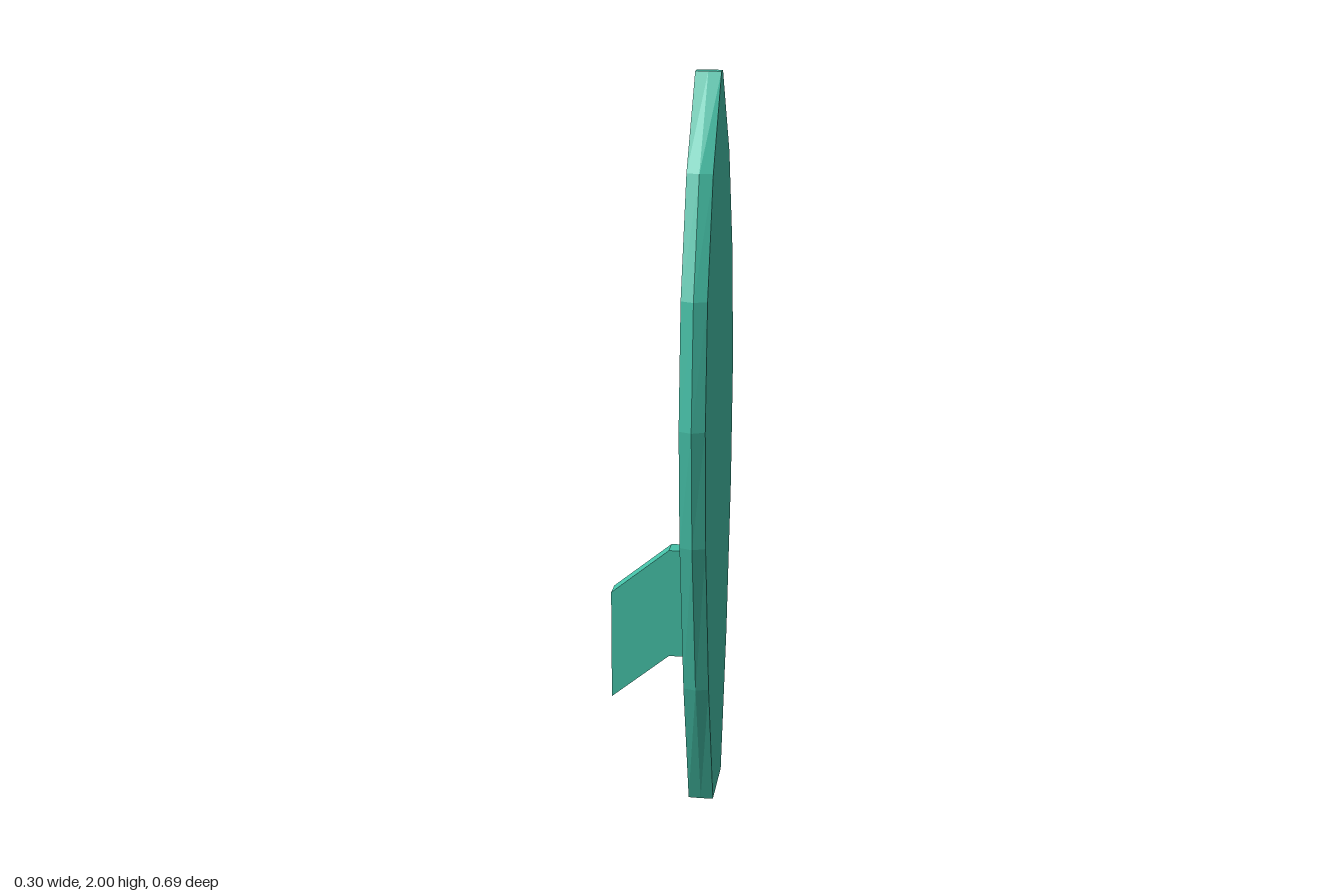
import * as THREE from 'three';

const material = new THREE.MeshStandardMaterial({ color: 0x44bfa6, flatShading: true });

// Board outline from tail to nose: height, half width of the flat faces, half width at the rail ridge
const stations = [
  [0, 0.098, 0.1],
  [0.38, 0.22, 0.23],
  [0.81, 0.307, 0.32],
  [1.13, 0.33, 0.345],
  [1.46, 0.296, 0.31],
  [1.765, 0.188, 0.2],
  [2, 0.016, 0.018],
];

function createBoard() {
  const [x0, xRidge, x1] = [0.079, 0.113, 0.147];
  // Six-sided cross-section with a ridge along each rail
  const rings = stations.map(([y, face, ridge]) => [
    [x0, y, face], [xRidge, y, ridge], [x1, y, face],
    [x1, y, -face], [xRidge, y, -ridge], [x0, y, -face],
  ]);
  const positions = [];
  const triangle = (a, b, c) => positions.push(...a, ...b, ...c);

  // Skin between neighbouring cross-sections
  for (let i = 0; i < rings.length - 1; i++) {
    for (let k = 0; k < 6; k++) {
      const n = (k + 1) % 6;
      triangle(rings[i][k], rings[i][n], rings[i + 1][n]);
      triangle(rings[i][k], rings[i + 1][n], rings[i + 1][k]);
    }
  }
  // Tail and nose ends
  const tail = rings[0];
  const nose = rings[rings.length - 1];
  for (let k = 1; k < 5; k++) {
    triangle(tail[0], tail[k + 1], tail[k]);
    triangle(nose[0], nose[k], nose[k + 1]);
  }

  const geometry = new THREE.BufferGeometry();
  geometry.setAttribute('position', new THREE.Float32BufferAttribute(positions, 3));
  geometry.computeVertexNormals();
  const board = new THREE.Mesh(geometry, material);
  board.name = 'board';
  return board;
}

function createFin() {
  // Swept-back fin standing on the underside, near the tail
  const outline = [
    [0.082, 0.39], [0.082, 0.7], [0.013, 0.7],
    [-0.148, 0.57], [-0.148, 0.26], [0.013, 0.39],
  ];
  const shape = new THREE.Shape(outline.map(([x, y]) => new THREE.Vector2(x, y)));
  const geometry = new THREE.ExtrudeGeometry(shape, { depth: 0.055, bevelEnabled: false });
  geometry.translate(0, 0, -0.031);
  const fin = new THREE.Mesh(geometry, material);
  fin.name = 'fin';
  return fin;
}

export function createModel() {
  const surfboard = new THREE.Group();
  surfboard.name = 'surfboard';
  surfboard.add(createBoard(), createFin());
  return surfboard;
}
